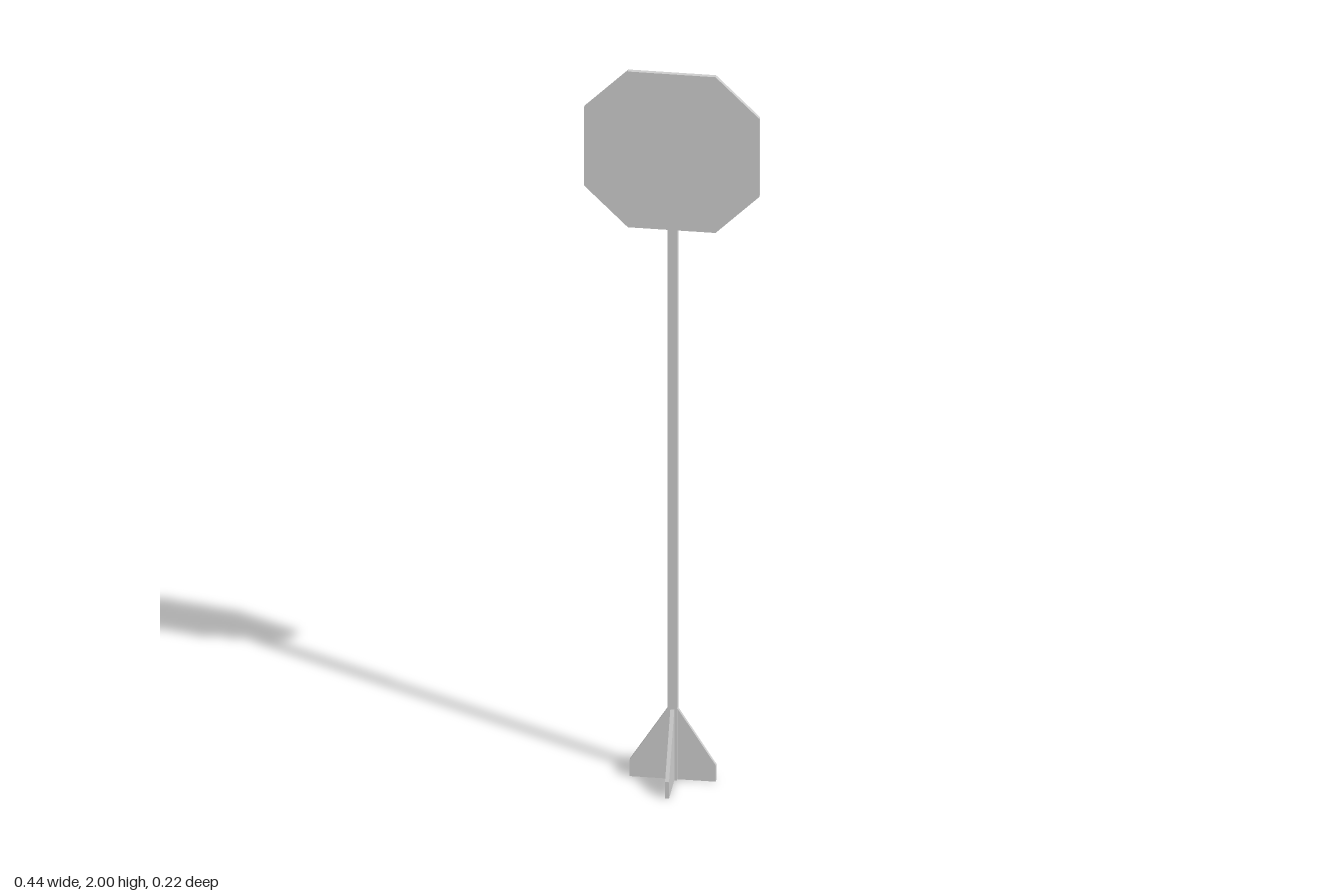
import * as THREE from 'three';

const material = new THREE.MeshStandardMaterial({ color: 0xcccccc, flatShading: true });

// Flat plate cut from an outline in the XY plane
function plate(name, points, thickness) {
  const shape = new THREE.Shape(points.map(([x, y]) => new THREE.Vector2(x, y)));
  const geometry = new THREE.ExtrudeGeometry(shape, { depth: thickness, bevelEnabled: false });
  const mesh = new THREE.Mesh(geometry, material);
  mesh.name = name;
  return mesh;
}

export function createModel() {
  const model = new THREE.Group();
  model.name = 'roadSign';
  const axisZ = -0.001;

  // Square post
  const postHeight = 1.976;
  const post = new THREE.Mesh(new THREE.BoxGeometry(0.024, postHeight, 0.024), material);
  post.name = 'post';
  post.position.set(0, postHeight / 2, axisZ);
  model.add(post);

  // Eight-sided panel on the front of the post
  const half = 0.22, flat = 0.11, panelY = 1.78;
  const panel = plate('signPanel', [
    [-flat, -half], [flat, -half], [half, -flat], [half, flat],
    [flat, half], [-flat, half], [-half, flat], [-half, -flat],
  ], 0.011);
  panel.position.set(0, panelY, 0.011);
  model.add(panel);

  // Four tapered fins around the foot
  const base = new THREE.Group();
  base.name = 'base';
  base.position.z = axisZ;
  const finThickness = 0.01;
  for (let i = 0; i < 4; i++) {
    const fin = plate('baseFin', [[0.004, 0], [0.108, 0], [0.108, 0.046], [0.012, 0.2], [0.004, 0.2]], finThickness);
    fin.geometry.translate(0, 0, -finThickness / 2);
    fin.rotation.y = i * Math.PI / 2;
    base.add(fin);
  }
  model.add(base);

  return model;
}
